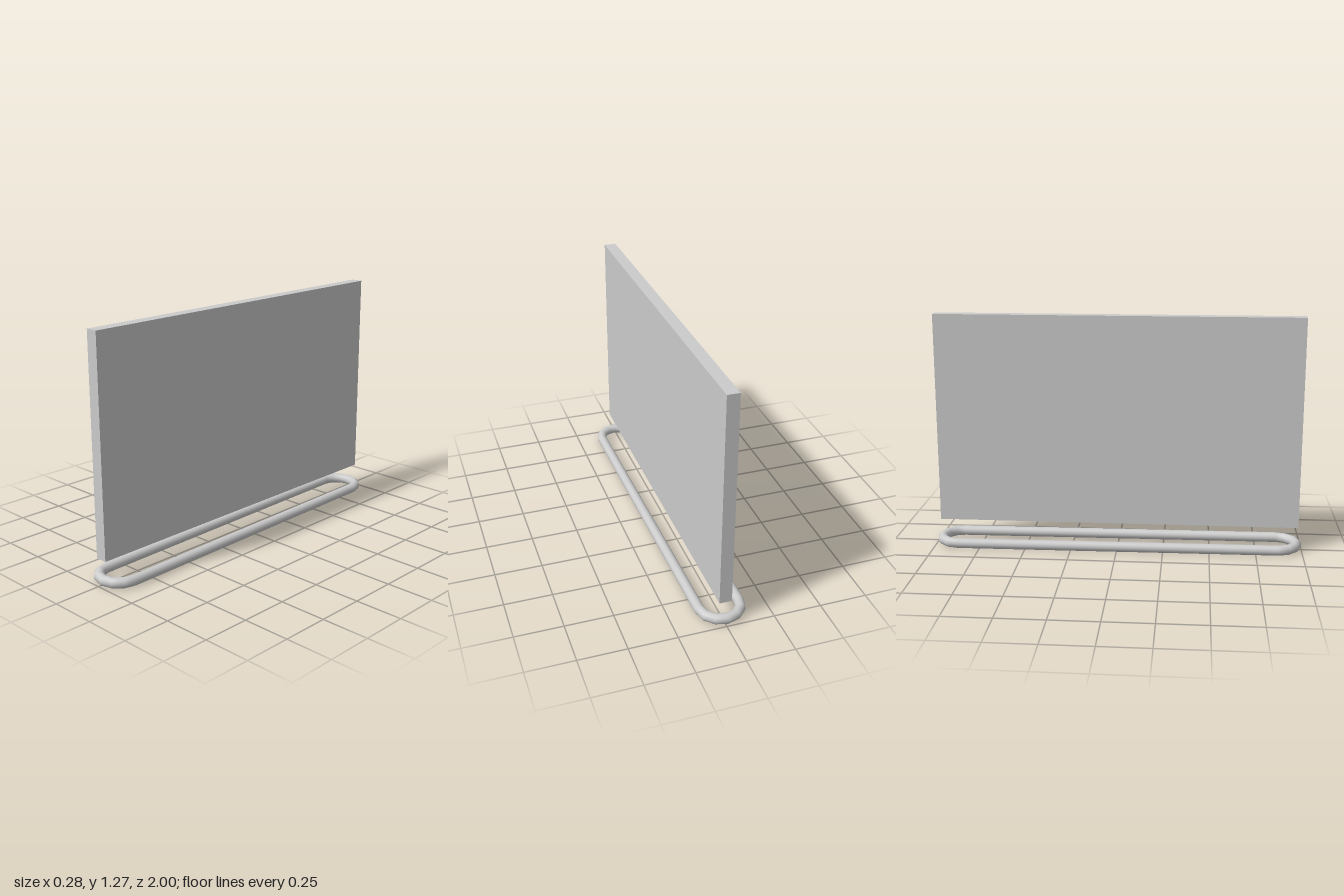
import * as THREE from 'three';

const ARC_STEPS = 6;              // bends per rounded end
const RADIUS = 0.105;             // centreline radius of the ends
const HALF_STRAIGHT = 0.868;      // z of the end centres
const TUBE = 0.027;

// Closed stadium path: two half circles joined by straights, sampled only where it bends
class StadiumCurve extends THREE.Curve {
  locate(u) {
    const half = ARC_STEPS + 1;
    const k = (u * 2 * half) % (2 * half);
    const end = k < half ? 0 : 1;
    const s = k - end * half;
    const angle = end * Math.PI + Math.min(s / ARC_STEPS, 1) * Math.PI;
    const along = Math.max(s - ARC_STEPS, 0);
    return { angle, z: (end ? -1 : 1) * HALF_STRAIGHT * (1 - 2 * along) };
  }
  getPointAt(u, target = new THREE.Vector3()) {
    const { angle, z } = this.locate(u);
    return target.set(RADIUS * Math.cos(angle), 0, z + RADIUS * Math.sin(angle));
  }
  getPoint(t, target) {
    return this.getPointAt(t, target);
  }
  getTangentAt(u, target = new THREE.Vector3()) {
    const { angle } = this.locate(u);
    return target.set(-Math.sin(angle), 0, Math.cos(angle));
  }
}

export function createModel() {
  const group = new THREE.Group();
  const material = new THREE.MeshStandardMaterial({ color: 0xcccccc });

  // Upright slab floating above the base
  const panel = new THREE.Mesh(new THREE.BoxGeometry(0.064, 1.135, 1.955), material);
  panel.name = 'panel';
  panel.position.set(0.002, 0.7025, 0);
  group.add(panel);

  // Tubular loop on the floor, turned very slightly
  const loop = new THREE.Mesh(
    new THREE.TubeGeometry(new StadiumCurve(), 2 * (ARC_STEPS + 1), TUBE, 16, true),
    material
  );
  loop.name = 'baseLoop';
  loop.position.y = TUBE + 0.001;
  loop.rotation.y = 0.011;
  group.add(loop);

  return group;
}
